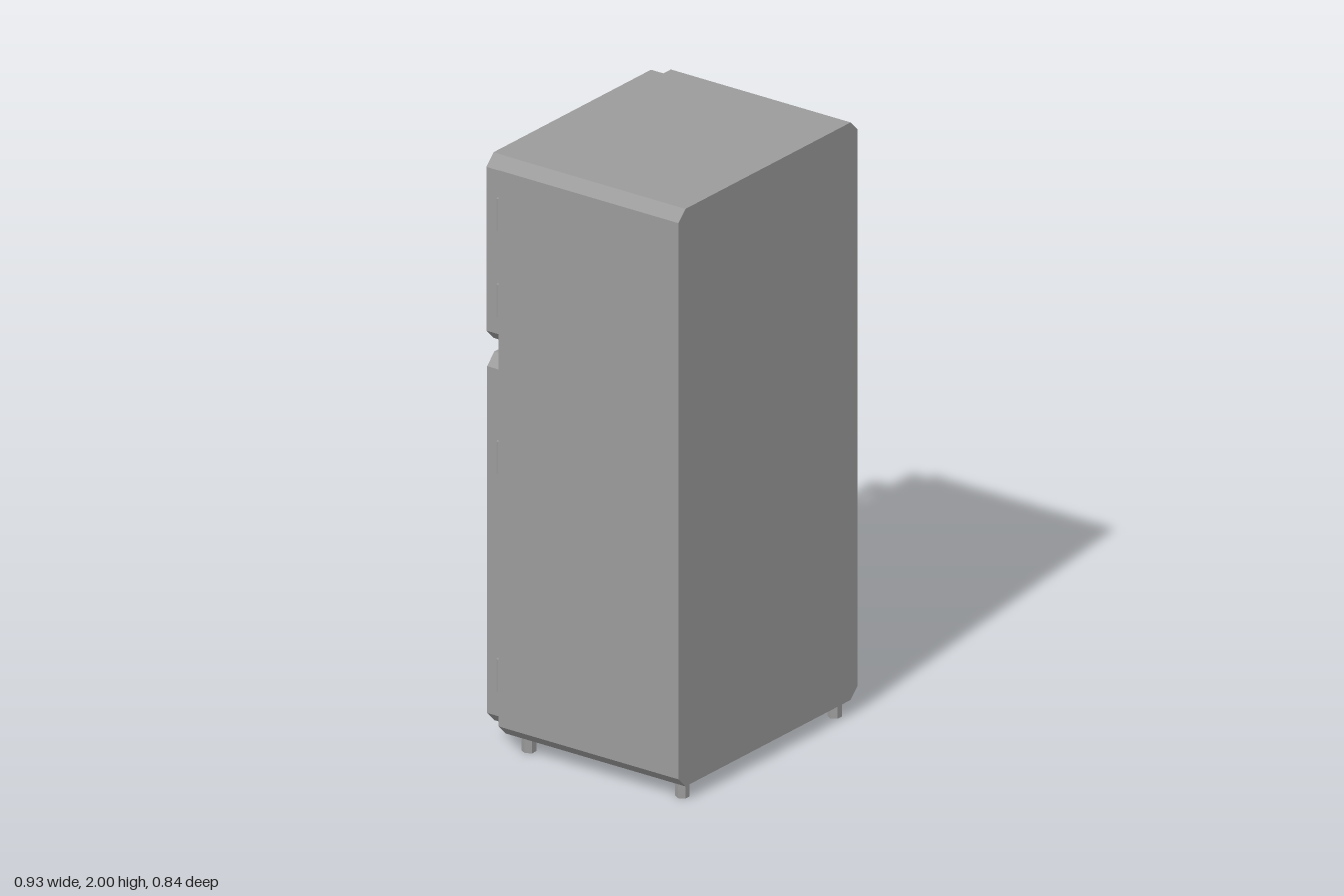
import * as THREE from 'three';

const material = new THREE.MeshStandardMaterial({ color: 0x9b9b9b, flatShading: true });

function polygon(points) {
  return new THREE.Shape(points.map(([x, y]) => new THREE.Vector2(x, y)));
}

// Slab with chamfered corners, spanning x0..x1, y0..y1, z0..z1
function slab(x0, x1, y0, y1, z0, z1, c) {
  const shape = polygon([
    [x0 + c, y0], [x1 - c, y0], [x1, y0 + c], [x1, y1 - c],
    [x1 - c, y1], [x0 + c, y1], [x0, y1 - c], [x0, y0 + c],
  ]);
  const geometry = new THREE.ExtrudeGeometry(shape, { depth: z1 - z0, bevelEnabled: false });
  return geometry.translate(0, 0, z0);
}

// C-shaped grip: profile in (outward depth, height), extruded across x
function grip(y0, y1) {
  const back = 0.337, outer = 0.418, inner = 0.382, c = 0.026, t = 0.043, k = 0.022;
  const shape = polygon([
    [back, y0], [outer - c, y0], [outer, y0 + c], [outer, y1 - c], [outer - c, y1], [back, y1],
    [back, y1 - t], [inner - k, y1 - t], [inner, y1 - t - k],
    [inner, y0 + t + k], [inner - k, y0 + t], [back, y0 + t],
  ]);
  const geometry = new THREE.ExtrudeGeometry(shape, { depth: 0.044, bevelEnabled: false });
  return geometry.rotateY(Math.PI / 2).translate(0.342, 0, 0);
}

export function createModel() {
  const model = new THREE.Group();
  model.name = 'refrigerator';
  const add = (name, geometry, parent = model) => {
    const mesh = new THREE.Mesh(geometry, material);
    mesh.name = name;
    parent.add(mesh);
    return mesh;
  };

  // Cabinet
  add('cabinet', slab(-0.464, 0.463, 0.05, 2, -0.28, 0.418, 0.036));

  // Doors, each with its inner panel, handle and hinges
  const doors = [
    { name: 'freezerDoor', y: [1.363, 1.99], z: [-0.342, -0.285], panel: [1.46, 1.86], handle: [1.475, 1.885], hinges: [1.52, 1.81] },
    { name: 'mainDoor', y: [0.073, 1.318], z: [-0.339, -0.283], panel: [0.2, 1.05], handle: [0.763, 1.23], hinges: [0.255, 0.99] },
  ];
  for (const d of doors) {
    const door = new THREE.Group();
    door.name = d.name;
    model.add(door);
    add('doorSlab', slab(-0.445, 0.444, ...d.y, ...d.z, 0.037), door);
    add('innerPanel', slab(-0.375, 0.36, ...d.panel, -0.286, -0.279, 0.03), door);
    add('handle', grip(...d.handle), door);
    for (const y of d.hinges) {
      const hinge = add('hinge', new THREE.CylinderGeometry(0.01, 0.01, 0.11, 8), door);
      hinge.position.set(-0.453, y, -0.284);
    }
  }

  // Hexagonal feet
  for (const x of [-0.4, 0.389]) {
    for (const z of [-0.21, 0.385]) {
      const foot = add('foot', new THREE.CylinderGeometry(0.023, 0.023, 0.052, 6));
      foot.position.set(x, 0.026, z);
      foot.rotation.y = Math.PI / 6;
    }
  }
  return model;
}
